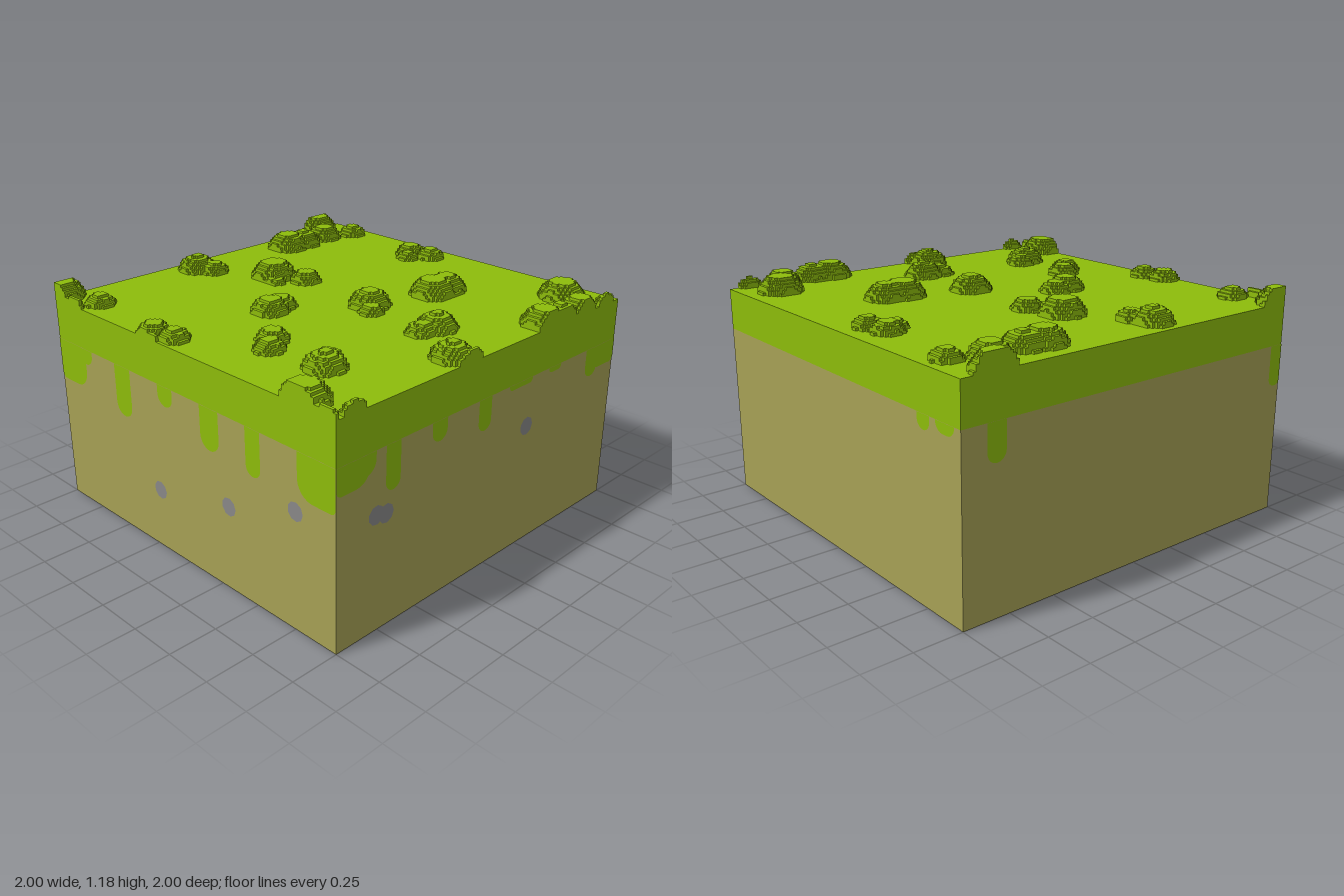
import * as THREE from 'three';

const SOIL_TOP = 0.89, GRASS_TOP = 1.1;
const grass = new THREE.MeshStandardMaterial({ name: 'grass green', color: 0x8dbc0b });
const soil = new THREE.MeshStandardMaterial({ name: 'soil tan', color: 0xa6a155 });
const stone = new THREE.MeshStandardMaterial({ name: 'stone grey', color: 0x898888 });

function add(parent, name, geometry, material, x = 0, y = 0, z = 0) {
  const mesh = new THREE.Mesh(geometry, material);
  mesh.name = name;
  mesh.position.set(x, y, z);
  parent.add(mesh);
  return mesh;
}

// Hanging strip from a to b with a rounded lower end at height y
function dripShape(a, b, y) {
  const r = Math.min((b - a) / 2, SOIL_TOP - y, 0.09);
  const ra = a <= -1 ? Math.min(r, 0.03) : r;
  const rb = b >= 1 ? Math.min(r, 0.03) : r;
  const s = new THREE.Shape();
  s.moveTo(a, SOIL_TOP);
  s.lineTo(a, y + ra);
  s.bezierCurveTo(a, y + ra * 0.45, a + ra * 0.45, y, a + ra, y);
  s.lineTo(b - rb, y);
  s.bezierCurveTo(b - rb * 0.45, y, b, y + rb * 0.45, b, y + rb);
  s.lineTo(b, SOIL_TOP);
  s.closePath();
  return s;
}

// Drips [from, to, bottom] and stones [across, height] for each side wall
const walls = [
  { name: 'front', turn: 0,
    drips: [[-1, -0.77, 0.675], [-0.82, -0.71, 0.81], [-0.515, -0.39, 0.63], [-0.17, -0.06, 0.79],
      [0.14, 0.27, 0.68], [0.45, 0.545, 0.66], [0.775, 1, 0.675]],
    stones: [[-0.2, 0.32], [0.32, 0.44], [0.76, 0.6]] },
  { name: 'xPlus', turn: Math.PI / 2,
    drips: [[-1, -0.8, 0.755], [-0.9, -0.77, 0.79], [-0.71, -0.62, 0.67], [-0.42, -0.32, 0.79],
      [-0.1, -0.01, 0.73], [0.12, 0.3, 0.865], [0.43, 0.53, 0.865], [0.75, 0.85, 0.74], [0.78, 1, 0.77]],
    stones: [[-0.765, 0.585], [-0.705, 0.57], [0.275, 0.64]] },
  { name: 'back', turn: Math.PI,
    drips: [[0.7, 0.79, 0.82], [0.83, 0.96, 0.84]], stones: [] },
  { name: 'xMinus', turn: -Math.PI / 2,
    drips: [[-0.87, -0.77, 0.71], [0.92, 1, 0.68]], stones: [] },
];

// Tufts [x, z, radius]; the pattern repeats every PERIOD in both directions
const PERIOD = 1.78;
const tufts = [
  [-1, -0.82, 0.11], [-0.76, -0.89, 0.07], [-0.83, -0.72, 0.09], [-0.82, -0.54, 0.095], [-0.83, -0.43, 0.105],
  [-0.25, -0.84, 0.075], [-0.12, -0.86, 0.07], [-0.2, -0.76, 0.055],
  [-0.87, 0.2, 0.095], [-0.77, 0.16, 0.07],
  [-0.49, -0.015, 0.11], [-0.31, -0.08, 0.075], [-0.4, 0.05, 0.05],
  [0.19, -0.04, 0.1], [0.27, 0.03, 0.06], [0.63, -0.03, 0.095], [0.62, 0.07, 0.07],
  [-0.11, 0.28, 0.075], [-0.09, 0.365, 0.09], [0.3, -0.49, 0.1], [0.3, -0.39, 0.11],
  [0.2, 0.61, 0.075], [0.28, 0.7, 0.072], [0.55, 0.6, 0.068], [0.6, 0.67, 0.095],
];

// Stepped relief: each cell takes the tallest flattened dome above it
function tuftGeometry() {
  const N = 128, cell = 2 / N, step = 0.085 / 6;
  const domes = [];
  for (const [x, z, r] of tufts)
    for (const dx of [0, PERIOD]) for (const dz of [0, PERIOD])
      domes.push([x + dx, z + dz, r + 0.007]);

  const level = new Uint8Array(N * N);
  for (let j = 0; j < N; j++) for (let i = 0; i < N; i++) {
    const x = -1 + (i + 0.5) * cell, z = -1 + (j + 0.5) * cell;
    for (const [cx, cz, r] of domes) {
      const q = r * r - (x - cx) ** 2 - (z - cz) ** 2;
      if (q <= 0) continue;
      const l = Math.round((Math.sqrt(q) - 0.02) / step);
      level[j * N + i] = Math.max(level[j * N + i], Math.min(6, l));
    }
  }
  const at = (i, j) => (i < 0 || j < 0 || i >= N || j >= N ? 0 : level[j * N + i]);

  const pos = [];
  const quad = (a, b, c, d) => pos.push(...a, ...b, ...c, ...a, ...c, ...d);
  for (let j = 0; j < N; j++) for (let i = 0; i < N; i++) {
    const l = at(i, j);
    if (!l) continue;
    const x0 = -1 + i * cell, x1 = x0 + cell, z0 = -1 + j * cell, z1 = z0 + cell;
    const y = GRASS_TOP + l * step;
    quad([x0, y, z0], [x0, y, z1], [x1, y, z1], [x1, y, z0]);
    // Walls down to each lower neighbour
    const sides = [[1, 0, x1, z1, x1, z0], [-1, 0, x0, z0, x0, z1], [0, 1, x0, z1, x1, z1], [0, -1, x1, z0, x0, z0]];
    for (const [di, dj, ax, az, bx, bz] of sides) {
      const n = at(i + di, j + dj);
      if (n >= l) continue;
      const yb = GRASS_TOP + n * step;
      quad([ax, yb, az], [bx, yb, bz], [bx, y, bz], [ax, y, az]);
    }
  }
  const g = new THREE.BufferGeometry();
  g.setAttribute('position', new THREE.Float32BufferAttribute(pos, 3));
  g.computeVertexNormals();
  return g;
}

export function createModel() {
  const model = new THREE.Group();
  model.name = 'grassBlock';

  // Main body
  add(model, 'soilBlock', new THREE.BoxGeometry(2, SOIL_TOP, 2), soil, 0, SOIL_TOP / 2, 0);
  add(model, 'grassLayer', new THREE.BoxGeometry(2, GRASS_TOP - SOIL_TOP, 2), grass,
    0, (GRASS_TOP + SOIL_TOP) / 2, 0);
  add(model, 'grassTufts', tuftGeometry(), grass);

  // Drips and stones lying on the walls
  for (const { name, turn, drips, stones } of walls) {
    const wall = new THREE.Group();
    wall.name = name + 'WallDetails';
    wall.rotation.y = turn;
    add(wall, name + 'GrassDrips', new THREE.ShapeGeometry(drips.map((d) => dripShape(...d)), 6), grass, 0, 0, 1.002);
    for (const [u, y] of stones)
      add(wall, name + 'Stone', new THREE.CircleGeometry(0.047, 9), stone, u, y, 1.002);
    model.add(wall);
  }
  return model;
}
